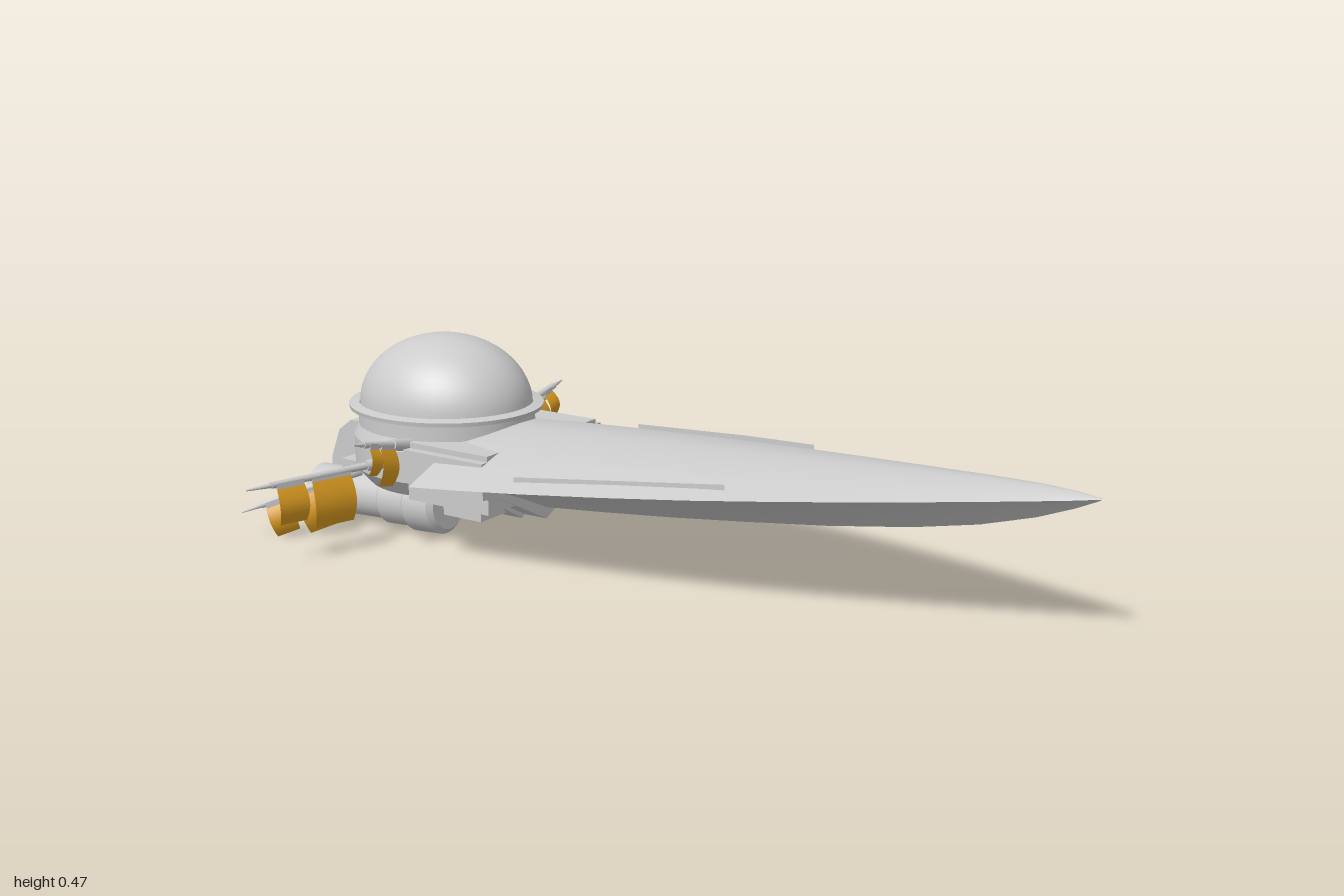
import * as THREE from 'three';

const grey = new THREE.MeshStandardMaterial({ color: 0xcccccc, side: THREE.DoubleSide });
const gold = new THREE.MeshStandardMaterial({ color: 0xd99a20, side: THREE.DoubleSide });

// Hull stations: x, half width, keel height, ridge height
const stations = [
  [-0.5, 0.32, 0.075, 0.281], [-0.36, 0.315, 0.09, 0.29], [-0.2, 0.302, 0.105, 0.298],
  [0, 0.277, 0.126, 0.308], [0.2, 0.243, 0.15, 0.317], [0.4, 0.197, 0.176, 0.326],
  [0.6, 0.142, 0.208, 0.336], [0.75, 0.095, 0.24, 0.343], [0.87, 0.055, 0.276, 0.346],
  [0.95, 0.026, 0.308, 0.343], [1, 0.004, 0.332, 0.337],
];

const chineY = (x) => 0.195 + (x + 0.5) * 0.0933;
const upper = ([x, , , ridge], t) => chineY(x) + (ridge - chineY(x)) * (1 - Math.abs(t) ** 1.7);
const lower = ([x, , keel], t) => chineY(x) - (chineY(x) - keel) * (1 - Math.abs(t)) ** 1.35;

// Interpolated station at any x
function stationAt(x) {
  const i = Math.max(1, stations.findIndex((s) => s[0] >= x));
  const a = stations[i - 1], b = stations[i], k = (x - a[0]) / (b[0] - a[0]);
  return a.map((v, j) => v + (b[j] - v) * k);
}
const deckY = (x, z) => {
  const s = stationAt(x);
  return upper(s, Math.min(1, Math.abs(z) / s[1]));
};

// Surface lofted through the stations, from width fraction t0 to t1
function loft(rule, t0, t1, n) {
  const pos = [], idx = [];
  stations.forEach((s, i) => {
    for (let j = 0; j <= n; j++) {
      const t = t0 + (t1 - t0) * j / n;
      pos.push(s[0], rule(s, t), s[1] * t);
      if (i && j) {
        const b = i * (n + 1) + j, a = b - n - 1;
        idx.push(a - 1, a, b - 1, a, b, b - 1);
      }
    }
  });
  const g = new THREE.BufferGeometry();
  g.setAttribute('position', new THREE.Float32BufferAttribute(pos, 3));
  g.setIndex(idx);
  g.computeVertexNormals();
  return g;
}

function add(parent, name, geometry, material = grey, x = 0, y = 0, z = 0) {
  const m = new THREE.Mesh(geometry, material);
  m.name = name;
  m.position.set(x, y, z);
  parent.add(m);
  return m;
}

const shapeOf = (pts) => new THREE.Shape(pts.map(([a, b]) => new THREE.Vector2(a, b)));
const extrude = (pts, depth) => new THREE.ExtrudeGeometry(shapeOf(pts), { depth, bevelEnabled: false });
const lathe = (pts, n = 40) => new THREE.LatheGeometry(pts.map(([r, y]) => new THREE.Vector2(r, y)), n);

// Lathe with hard edges: one band per profile segment
function turned(parent, name, pts, n) {
  const g = new THREE.Group();
  g.name = name;
  for (let i = 1; i < pts.length; i++) add(g, name + 'Band', lathe([pts[i - 1], pts[i]], n));
  parent.add(g);
  return g;
}

function buildHull(root) {
  const hull = new THREE.Group();
  hull.name = 'hull';
  root.add(hull);
  add(hull, 'upperHull', loft(upper, -1, 1, 24));
  add(hull, 'lowerHullLeft', loft(lower, 1, 0, 12));
  add(hull, 'lowerHullRight', loft(lower, 0, -1, 12));

  // Flat stern
  const s = stations[0], rim = [];
  for (let i = 0; i <= 24; i++) rim.push([s[1] * (i / 12 - 1), upper(s, i / 12 - 1)]);
  for (let i = 1; i < 24; i++) rim.push([s[1] * (1 - i / 12), lower(s, 1 - i / 12)]);
  add(hull, 'stern', new THREE.ShapeGeometry(shapeOf(rim)).rotateY(-Math.PI / 2), grey, s[0]);

  for (const side of [1, -1]) {
    // Raised deck plates that follow the hull surface
    const plate = extrude([[-0.24, 0.267], [-0.24, 0.222], [0.1, 0.166], [0.26, 0.192]]
      .map(([x, z]) => [x, z * side]), 0.03).rotateX(Math.PI / 2);
    const p = plate.attributes.position;
    for (let i = 0; i < p.count; i++) p.setY(i, p.getY(i) + 0.012 + deckY(p.getX(i), p.getZ(i)));
    plate.computeVertexNormals();
    add(hull, 'deckPlate', plate);
    add(hull, 'sideRail', new THREE.BoxGeometry(0.235, 0.05, 0.03), grey, -0.477, 0.224, 0.216 * side);
  }

  // V-shaped collars under the stern
  for (const [x, w, drop, d] of [[-0.42, 0.235, 0, 0.065], [-0.49, 0.21, 0.012, 0.06]]) {
    const collar = extrude([[w, 0.2 - drop], [w, 0.165 - drop], [w - 0.06, 0.155 - drop], [0, 0.062 - drop],
      [0.06 - w, 0.155 - drop], [-w, 0.165 - drop], [-w, 0.2 - drop], [0, 0.13]], d).rotateY(Math.PI / 2);
    add(hull, 'keelCollar', collar, grey, x);
  }
}

function buildTower(root) {
  const tower = new THREE.Group();
  tower.name = 'tower';
  tower.position.x = -0.655;
  tower.scale.z = 0.91;
  root.add(tower);
  turned(tower, 'drum', [[0, 0.12], [0.2, 0.12], [0.235, 0.16], [0.235, 0.235], [0.222, 0.262], [0.222, 0.305]]);
  turned(tower, 'rim', [[0.22, 0.298], [0.243, 0.302], [0.245, 0.312], [0.22, 0.317]]);
  const dome = [];
  for (let i = 0; i <= 14; i++) {
    const a = i / 14 * Math.PI / 2;
    dome.push([0.221 * Math.cos(a), 0.31 + 0.168 * Math.sin(a)]);
  }
  add(tower, 'dome', lathe(dome)).scale.z = 0.95;

  add(root, 'neck', new THREE.BoxGeometry(0.24, 0.14, 0.42), grey, -0.48, 0.192);
  add(root, 'underBody', new THREE.BoxGeometry(0.44, 0.09, 0.26), grey, -0.67, 0.115);
  add(root, 'rearBlock', extrude([[-0.84, 0.235], [-0.93, 0.235], [-0.97, 0.205], [-1, 0.13],
    [-1, 0.05], [-0.96, 0.04], [-0.84, 0.07]], 0.1), grey, 0, 0, -0.05);
}

function buildEngine(root, side) {
  // Profile runs from the front face back to the hollow nozzle
  const e = turned(root, 'engine', [[0, 0], [0.062, 0], [0.075, -0.012], [0.075, -0.085], [0.066, -0.095],
    [0.066, -0.17], [0.057, -0.18], [0.055, -0.31], [0.06, -0.32], [0.062, -0.4], [0.05, -0.4], [0.042, -0.34],
    [0, -0.34]], 24);
  e.position.set(-0.565, 0.092, 0.108 * side);
  e.rotation.set(0, 0.035 * side, -Math.PI / 2 + 0.05, 'YXZ');
}

// Mast with curved gold sails: start, end, sail spans along the mast as [from, to, height]
const masts = [
  { name: 'middleMast', from: [-0.66, 0.205, 0.2], to: [-0.762, 0.205, 0.565], sails: [[0.115, 0.215, 0.12], [0.237, 0.305, 0.095]] },
  { name: 'rearMast', from: [-0.77, 0.165, 0.19], to: [-0.968, 0.075, 0.393], sails: [[0.08, 0.165, 0.105], [0.185, 0.24, 0.085]] },
  { name: 'frontMast', from: [-0.605, 0.25, 0.19], to: [-0.597, 0.295, 0.39], sails: [[0.065, 0.115, 0.095], [0.125, 0.155, 0.07]] },
];

function buildMast(root, { name, from, to, sails }, side) {
  const [dx, dy, dz] = to.map((v, i) => v - from[i]);
  const len = Math.hypot(dx, dy, dz);
  const g = new THREE.Group();
  g.name = name;
  g.position.set(from[0], from[1], from[2] * side);
  g.rotation.set(-Math.asin(dy / len), Math.atan2(dx, dz * side), 0, 'YXZ');
  root.add(g);
  const rod = (part, r0, r1, z0, z1) =>
    add(g, part, new THREE.CylinderGeometry(r1, r0, z1 - z0, 10).rotateX(Math.PI / 2), grey, 0, 0, (z0 + z1) / 2);
  rod('mastSocket', 0.016, 0.013, 0, 0.07);
  rod('mastArm', 0.009, 0.008, 0.07, len * 0.84);
  rod('mastTip', 0.006, 0.002, len * 0.84, len);
  for (const [a, b, h] of sails) {
    add(g, 'sailClamp', new THREE.BoxGeometry(0.016, 0.014, b - a), grey, 0, -0.004, (a + b) / 2);
    const sail = new THREE.PlaneGeometry(b - a, h, 4, 8).rotateY(-Math.PI / 2);
    const p = sail.attributes.position;
    for (let i = 0; i < p.count; i++) {
      const v = 0.5 - p.getY(i) / h;
      // Belly out sideways and sweep slightly towards the mast tip
      p.setX(i, side * 0.022 * Math.sin(v * Math.PI * 0.85));
      p.setZ(i, p.getZ(i) + 0.01 * Math.sin(v * Math.PI) * Math.sign(p.getZ(i)) * 0.4);
    }
    sail.computeVertexNormals();
    add(g, 'sail', sail, gold, 0, -h / 2, (a + b) / 2);
  }
}

export function createModel() {
  const root = new THREE.Group();
  root.name = 'ship';
  buildHull(root);
  buildTower(root);
  for (const side of [1, -1]) {
    buildEngine(root, side);
    for (const mast of masts) buildMast(root, mast, side);
  }
  return root;
}
